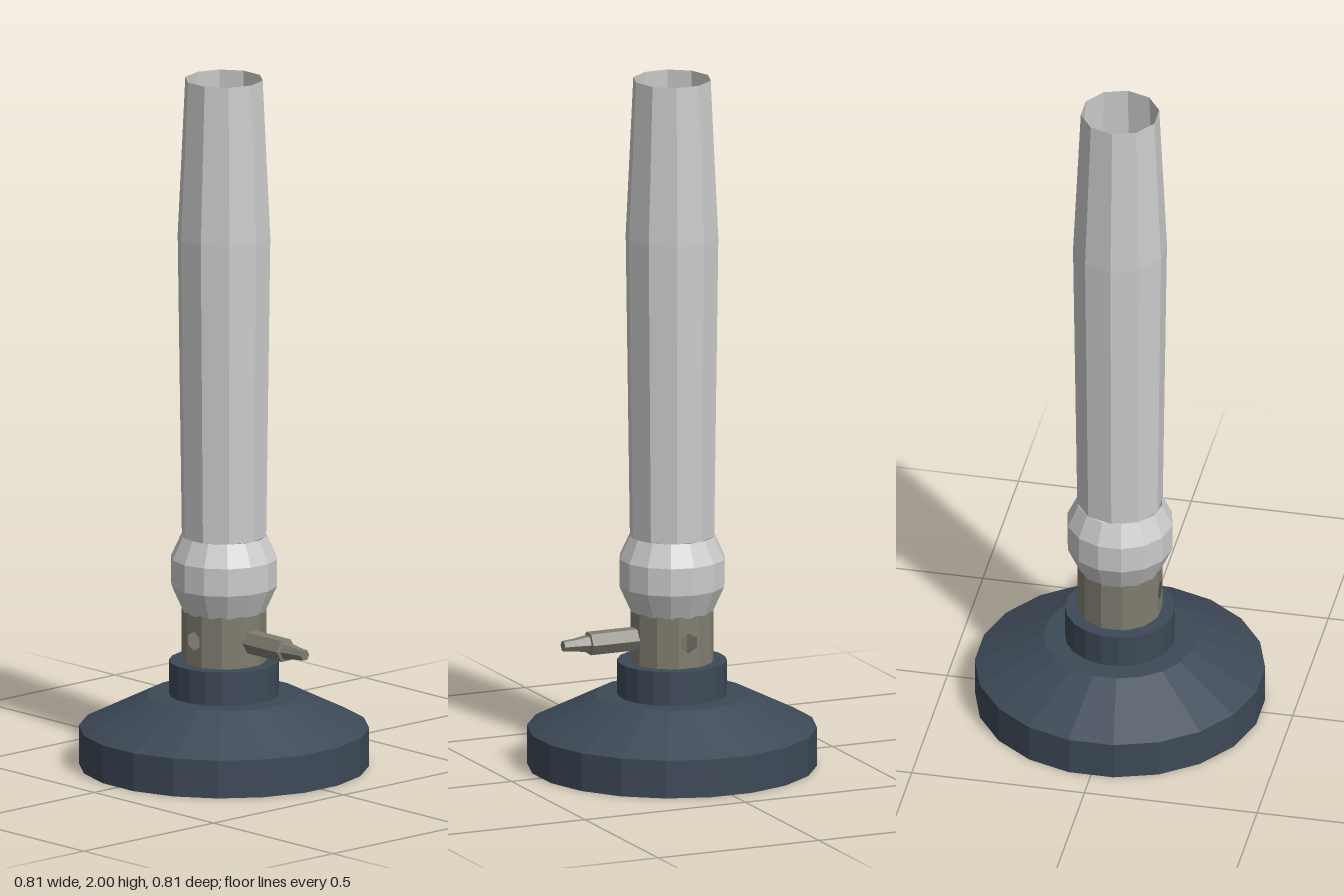
import * as THREE from 'three';

const material = (color) =>
  new THREE.MeshStandardMaterial({ color, flatShading: true, side: THREE.DoubleSide });

// Faceted turned part; profile is [radius, height] from bottom to top
function turned(name, profile, sides, mat, turn = 0) {
  const points = profile.map(([r, y]) => new THREE.Vector2(r, y));
  const geometry = new THREE.LatheGeometry(points, sides);
  geometry.rotateY(turn);
  const mesh = new THREE.Mesh(geometry, mat);
  mesh.name = name;
  return mesh;
}

// Ring of flat panels, with hexagonal air holes in the front and back panels
function airCollar(mat) {
  const sides = 12, radius = 0.12, bottom = 0.3, top = 0.455, holeY = 0.378;
  const half = radius * Math.sin(Math.PI / sides);
  const apothem = radius * Math.cos(Math.PI / sides);
  const collar = new THREE.Group();
  collar.name = 'airCollar';
  for (let i = 0; i < sides; i++) {
    const shape = new THREE.Shape([
      new THREE.Vector2(-half, bottom), new THREE.Vector2(half, bottom),
      new THREE.Vector2(half, top), new THREE.Vector2(-half, top),
    ]);
    if (i % (sides / 2) === 0) {
      const corners = [];
      for (let k = 0; k < 6; k++) {
        const a = -k * Math.PI / 3;
        corners.push(new THREE.Vector2(0.028 * Math.sin(a), holeY + 0.028 * Math.cos(a)));
      }
      shape.holes.push(new THREE.Path(corners));
    }
    const geometry = new THREE.ShapeGeometry(shape);
    geometry.translate(0, 0, apothem);
    geometry.rotateY(i * 2 * Math.PI / sides);
    const panel = new THREE.Mesh(geometry, mat);
    panel.name = 'collarPanel';
    collar.add(panel);
  }
  return collar;
}

export function createModel() {
  const grey = material(0xcccccc);
  const darkBlue = material(0x3d4957);
  const bronze = material(0x807d70);
  const model = new THREE.Group();
  model.name = 'gasBurner';

  // Weighted foot, its sloping top and the socket
  model.add(turned('foot', [[0.412, 0], [0.412, 0.11], [0.218, 0.207]], 20, darkBlue, Math.PI / 20));
  model.add(turned('socket', [[0.218, 0.207], [0.156, 0.207], [0.156, 0.305], [0.118, 0.305]], 20, darkBlue, Math.PI / 20));

  // Underside plate, also the floor seen down the hollow barrel
  const plate = new THREE.CircleGeometry(0.412, 20);
  plate.rotateX(Math.PI / 2);
  plate.rotateY(Math.PI / 20);
  const underside = new THREE.Mesh(plate, grey);
  underside.name = 'underside';
  model.add(underside);

  model.add(airCollar(bronze));

  // Swollen lower end of the barrel, then the long open tube
  model.add(turned('barrelBulge',
    [[0.118, 0.45], [0.152, 0.525], [0.152, 0.605], [0.122, 0.67]], 14, grey));
  model.add(turned('barrel',
    [[0.122, 0.67], [0.134, 1.54], [0.112, 2]], 10, grey, Math.PI / 2));

  // Six-sided hose inlet with a tapering nozzle, on the left
  const inlet = turned('gasInlet', [
    [0.035, 0.11], [0.035, 0.26], [0.026, 0.262], [0.019, 0.305], [0.016, 0.34], [0, 0.34],
  ], 6, bronze);
  inlet.rotation.z = -Math.PI / 2;
  inlet.position.y = 0.378;
  model.add(inlet);

  return model;
}
